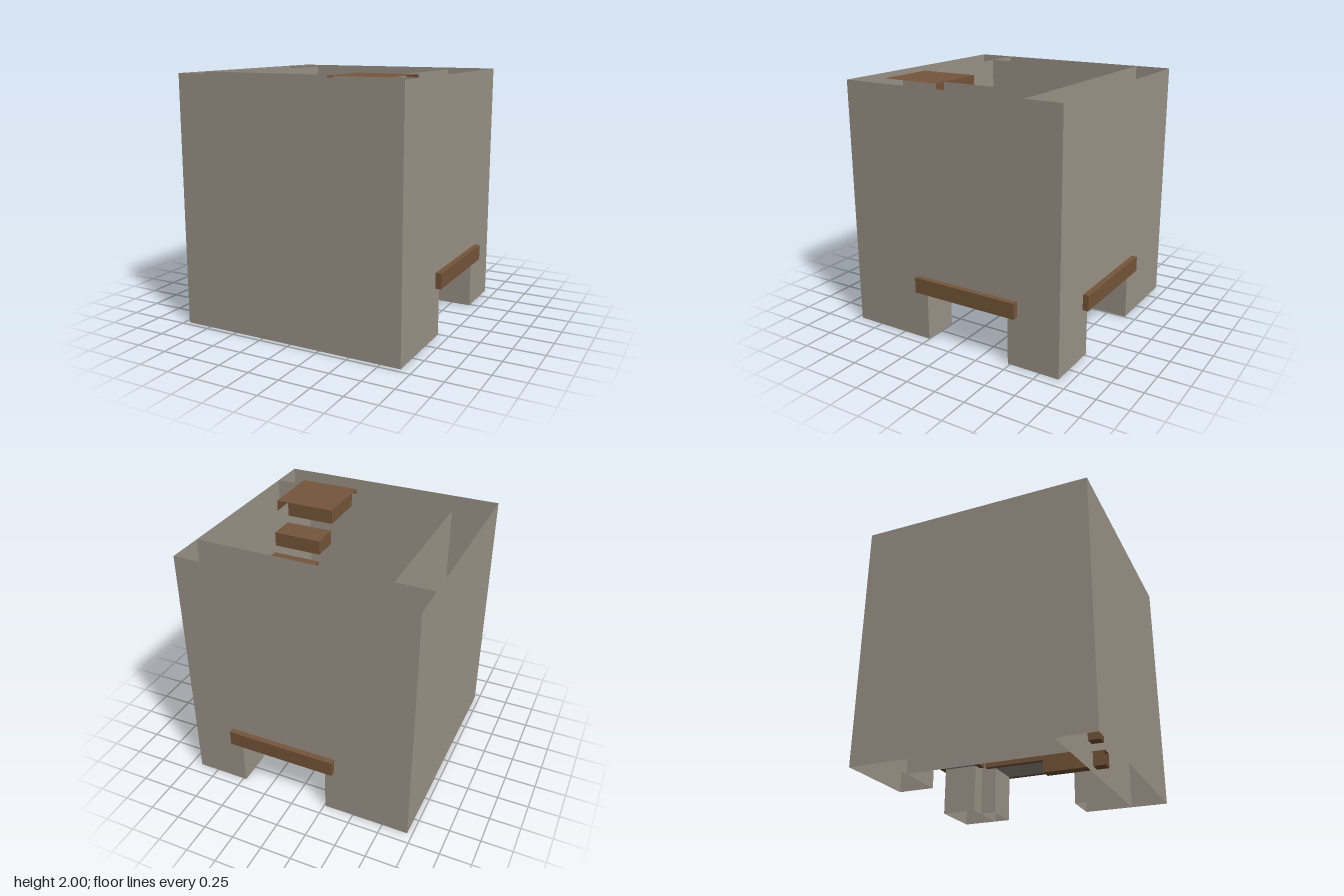
import * as THREE from 'three';

export function createModel() {
  const model = new THREE.Group();
  model.name = 'stairTower';
  const stone = new THREE.MeshStandardMaterial({ name: 'stone', color: 0x9b9388, side: THREE.DoubleSide });
  const wood = new THREE.MeshStandardMaterial({ name: 'wood', color: 0x75563a, side: THREE.DoubleSide });

  const add = (name, geometry, material) => {
    const mesh = new THREE.Mesh(geometry, material);
    mesh.name = name;
    model.add(mesh);
    return mesh;
  };

  const H = 2, DOOR_H = 0.4;
  const OUT_MIN = -0.96, OUT_MAX = 0.91;     // left and right outer walls
  const backDoor = [-0.26, 0.475], sideDoor = [-0.48, 0.255];

  // Thin wall sheet along x or z, with an optional doorway notch
  function wall(name, axis, at, from, to, door) {
    const pts = [[from, 0]];
    if (door) pts.push([door[0], 0], [door[0], DOOR_H], [door[1], DOOR_H], [door[1], 0]);
    pts.push([to, 0], [to, H], [from, H]);
    const g = new THREE.ShapeGeometry(new THREE.Shape(pts.map(p => new THREE.Vector2(...p))));
    if (axis === 'z') g.rotateY(-Math.PI / 2).translate(at, 0, 0);
    else g.translate(0, 0, at);
    add(name, g, stone);
  }

  // Box from its limits; omit lists faces left open (0 +x, 1 -x, 2 +y, 3 -y, 4 +z, 5 -z)
  function box(name, x0, x1, y0, y1, z0, z1, material, omit = []) {
    const g = new THREE.BoxGeometry(x1 - x0, y1 - y0, z1 - z0);
    g.translate((x0 + x1) / 2, (y0 + y1) / 2, (z0 + z1) / 2);
    g.setIndex(Array.from(g.index.array).filter((_, i) => !omit.includes(Math.floor(i / 6))));
    g.clearGroups();
    return add(name, g, material);
  }

  // Outer shell, open at top and bottom
  wall('outerFrontWall', 'x', 0.96, OUT_MIN, OUT_MAX);
  wall('outerBackWall', 'x', -0.91, OUT_MIN, OUT_MAX, backDoor);
  wall('outerLeftWall', 'z', OUT_MAX, -0.91, 0.96, sideDoor);
  wall('outerRightWall', 'z', OUT_MIN, -0.91, 0.96);

  // Inner shell; front and back sheets run the full width
  wall('innerFrontWall', 'x', 0.66, OUT_MIN, OUT_MAX);
  wall('innerBackWall', 'x', -0.615, OUT_MIN, OUT_MAX, backDoor);
  wall('innerLeftWall', 'z', 0.61, -0.615, 0.66, sideDoor);
  wall('innerRightWall', 'z', -0.66, -0.615, 0.66);

  // Doorway linings: jambs and ceiling only
  box('backDoorLining', ...backDoor, 0, DOOR_H, -0.91, -0.615, stone, [3, 4, 5]);
  box('sideDoorLining', 0.61, OUT_MAX, 0, DOOR_H, ...sideDoor, stone, [0, 1, 3]);

  // Lintel beams on both faces of each doorway
  const L0 = 0.4, L1 = 0.525;
  box('backDoorOuterLintel', -0.34, 0.555, L0, L1, -0.957, -0.911, wood);
  box('backDoorInnerLintel', -0.34, 0.555, L0, L1, -0.614, -0.568, wood);
  box('sideDoorOuterLintel', 0.911, 0.957, L0, L1, -0.56, 0.335, wood);
  box('sideDoorInnerLintel', 0.563, 0.609, L0, L1, -0.56, 0.335, wood);

  // Winding stair: [x0, x1, z0, z1, open faces set into the wall], lowest first
  const R = [-0.76, -0.27], L = [0.215, 0.71], B = [-0.715, -0.225], F = [0.265, 0.755];
  const near = [0.03, 0.245], far = [-0.205, 0.01];
  const steps = [
    [-0.145, -0.05, ...F, [4]],
    [-0.25, -0.157, ...F, [4]],
    [...R, ...F, [1, 4]],
    [...R, ...near, [1]],
    [...R, ...far, [1]],
    [...R, ...B, [1, 5]],
    [-0.25, -0.035, ...B, [5]],
    [-0.015, 0.2, ...B, [5]],
    [...L, ...B, [0, 5]],
    [...L, ...far, [0]],
    [...L, ...near, [0]],
    [...L, ...F, [0, 4]],
  ];
  steps.forEach(([x0, x1, z0, z1, open], i) => {
    const top = H * (i + 1) / steps.length;
    const name = open.length > 1 ? 'landing' : 'step';
    box(name + (i + 1), x0, x1, top - 0.115, top, z0, z1, wood, open);
  });

  return model;
}
